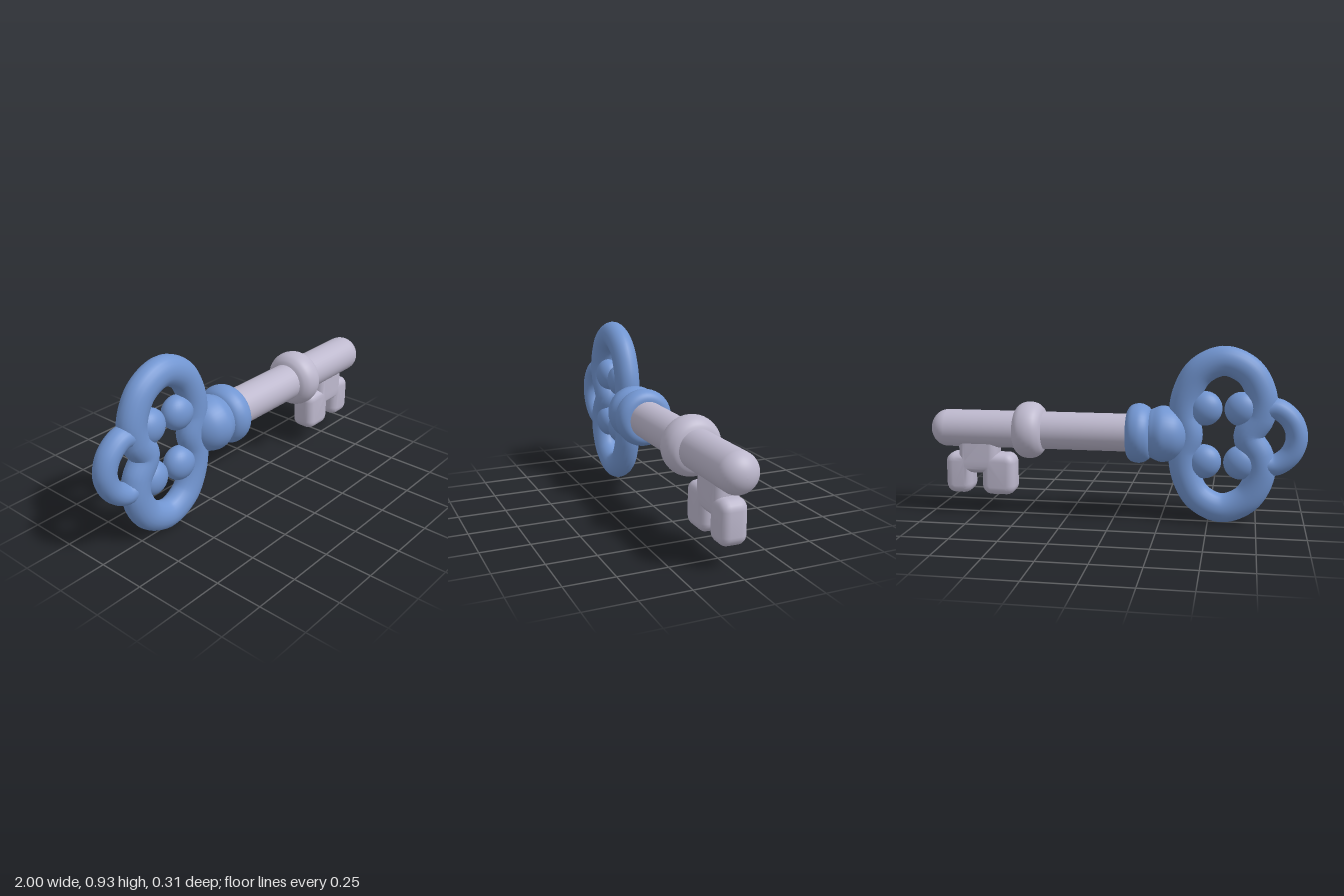
import * as THREE from 'three';
import { toCreasedNormals } from 'three/addons/utils/BufferGeometryUtils.js';

const AXIS_Y = 0.475;

export function createModel() {
  const key = new THREE.Group();
  key.name = 'key';
  const blue = new THREE.MeshStandardMaterial({ color: 0x7296d2 });
  blue.name = 'blue enamel';
  const silver = new THREE.MeshStandardMaterial({ color: 0xbdb8cd });
  silver.name = 'pale silver';

  const add = (name, geometry, material) => {
    const mesh = new THREE.Mesh(geometry, material);
    mesh.name = name;
    key.add(mesh);
    return mesh;
  };

  // Turned part along the x axis, from [x, radius] pairs
  const turned = (name, pairs, material, smooth = true) => {
    let pts = pairs.map(([x, r]) => new THREE.Vector2(r, x));
    if (smooth) pts = new THREE.SplineCurve(pts).getPoints(40);
    pts.forEach(p => { p.x = Math.max(p.x, 0); });
    const geo = new THREE.LatheGeometry(pts, 40);
    geo.rotateZ(-Math.PI / 2);
    add(name, geo, material).position.y = AXIS_Y;
  };

  // Closed loop mirrored about the key's axis, from [x, height above axis]
  const loop = (name, upper, radius, depth) => {
    const lower = upper.slice(1, -1).reverse().map(([x, y]) => [x, -y]);
    const pts = [...upper, ...lower].map(([x, y]) => new THREE.Vector3(x, y, 0));
    const curve = new THREE.CatmullRomCurve3(pts, true);
    const geo = new THREE.TubeGeometry(curve, 120, radius, 20, true);
    geo.scale(1, 1, depth / radius);
    add(name, geo, blue).position.y = AXIS_Y;
  };

  // Bow: tall pinched loop and small end loop
  loop('bowLoop', [
    [-0.70, 0], [-0.755, 0.10], [-0.765, 0.20], [-0.70, 0.33], [-0.57, 0.387],
    [-0.445, 0.33], [-0.38, 0.21], [-0.367, 0.10], [-0.39, 0],
  ], 0.077, 0.068);
  loop('endLoop', [
    [-0.945, 0], [-0.915, 0.09], [-0.835, 0.147], [-0.755, 0.12], [-0.71, 0],
  ], 0.056, 0.06);

  // Four inward lobes of the bow
  for (const x of [-0.665, -0.475]) {
    for (const side of [1, -1]) {
      const lobe = add('bowLobe', new THREE.SphereGeometry(0.09, 28, 20), blue);
      lobe.position.set(x, AXIS_Y + side * 0.14, 0);
      lobe.scale.z = 0.78;
    }
  }

  // Hub ball and collar joining bow to shaft
  turned('hub', [
    [-0.40, 0], [-0.378, 0.075], [-0.33, 0.127], [-0.26, 0.148], [-0.21, 0.133], [-0.185, 0.12],
  ], blue);
  turned('hubCollar', [
    [-0.205, 0.10], [-0.19, 0.132], [-0.165, 0.15], [-0.135, 0.157],
    [-0.10, 0.15], [-0.078, 0.13], [-0.07, 0.10], [-0.075, 0.05],
  ], blue);

  // Shaft with rounded tip
  const shaft = [[-0.15, 0.1]];
  for (let i = 0; i <= 14; i++) {
    const a = (i / 14) * Math.PI / 2;
    shaft.push([0.91 + 0.09 * Math.sin(a), 0.1 * Math.cos(a)]);
  }
  turned('shaft', shaft, silver, false);
  turned('shaftRing', [
    [0.375, 0.095], [0.388, 0.122], [0.415, 0.144], [0.455, 0.152],
    [0.495, 0.144], [0.522, 0.122], [0.535, 0.095],
  ], silver);

  // Bit: rounded outline with two teeth and a neck running into the shaft
  const bevel = 0.042;
  const outline = [
    [0.575, 0.162], [0.674, 0.162], [0.674, 0.278], [0.812, 0.278],
    [0.812, 0.166], [0.875, 0.166], [0.875, 0.303], [0.802, 0.303],
    [0.802, 0.45], [0.672, 0.45], [0.672, 0.303], [0.575, 0.303],
  ].map(([x, y]) => new THREE.Vector2(x, y));
  const shape = new THREE.Shape();
  outline.forEach((p, i) => {
    const n = outline.length;
    const toward = q => q.clone().sub(p).setLength(0.011).add(p);
    const a = toward(outline[(i + n - 1) % n]);
    const b = toward(outline[(i + 1) % n]);
    if (i) shape.lineTo(a.x, a.y); else shape.moveTo(a.x, a.y);
    shape.quadraticCurveTo(p.x, p.y, b.x, b.y);
  });
  shape.closePath();
  const depth = 0.052;
  const bit = new THREE.ExtrudeGeometry(shape, {
    depth, bevelEnabled: true, bevelSize: bevel, bevelThickness: bevel,
    bevelSegments: 6, curveSegments: 5,
  });
  bit.translate(0, 0, -depth / 2);
  add('bit', toCreasedNormals(bit, 0.9), silver);

  return key;
}
